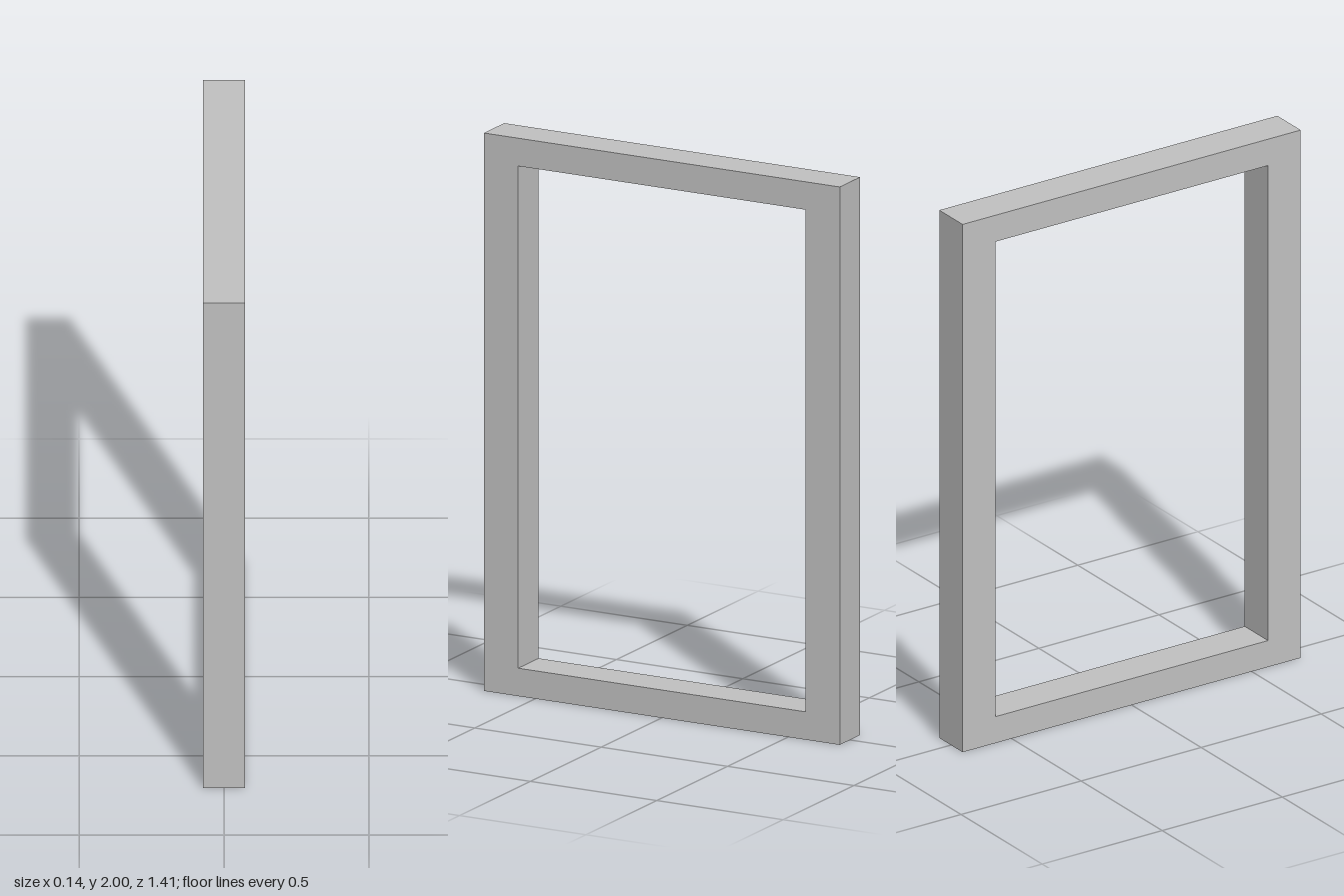
import * as THREE from 'three';

// Closed rectangle outline, centred on x
function rectangle(path, halfWidth, bottom, top) {
  path.moveTo(-halfWidth, bottom);
  path.lineTo(halfWidth, bottom);
  path.lineTo(halfWidth, top);
  path.lineTo(-halfWidth, top);
  path.closePath();
  return path;
}

export function createModel() {
  const height = 2, halfWidth = 0.704, depth = 0.144;
  const stile = 0.136, rail = 0.1;

  const grey = new THREE.MeshStandardMaterial({ color: 0xc0c0c0 });
  grey.name = 'light grey';

  // Upright rectangular frame with a through opening
  const outline = rectangle(new THREE.Shape(), halfWidth, 0, height);
  outline.holes.push(rectangle(new THREE.Path(), halfWidth - stile, rail, height - rail));

  const geometry = new THREE.ExtrudeGeometry(outline, { depth, bevelEnabled: false });
  geometry.translate(0, 0, -depth / 2);
  geometry.rotateY(Math.PI / 2); // width runs along z, thickness along x

  const frame = new THREE.Mesh(geometry, grey);
  frame.name = 'frame';

  const model = new THREE.Group();
  model.name = 'rectangularFrame';
  model.add(frame);
  return model;
}
